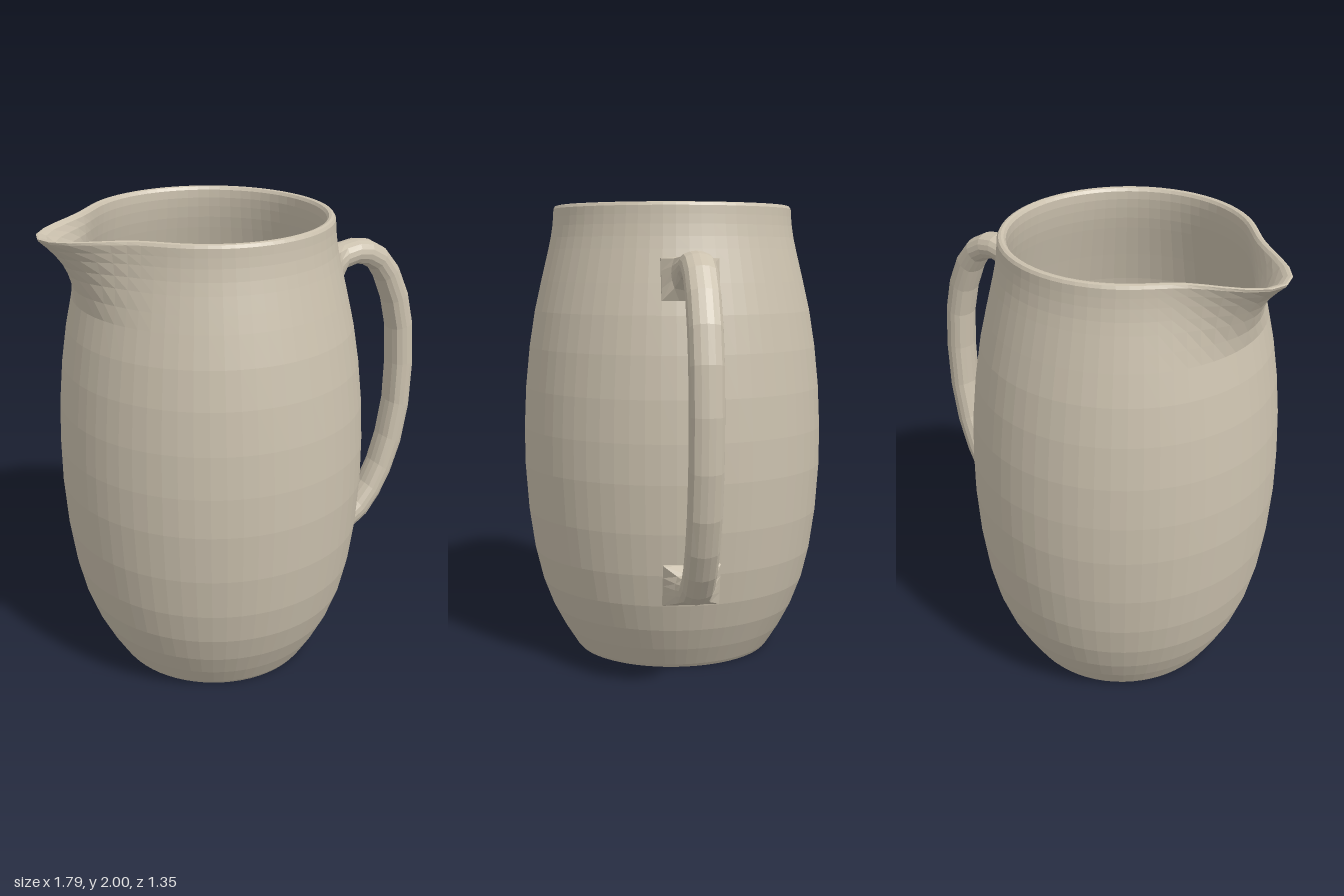
import * as THREE from 'three';

const clay = new THREE.MeshStandardMaterial({ color: 0xcbc1ae, flatShading: true });
clay.name = 'clay';

// Turned vessel, outside then inside, with the rim pulled out into a pouring spout at -x
function vesselGeometry() {
  const outer = [
    [0, 0], [0.44, 0], [0.452, 0.015], [0.505, 0.1], [0.557, 0.2], [0.602, 0.32], [0.635, 0.46],
    [0.66, 0.64], [0.674, 0.85], [0.674, 1.02], [0.665, 1.2], [0.646, 1.38], [0.62, 1.54],
    [0.59, 1.67], [0.573, 1.74], [0.556, 1.81], [0.545, 1.86], [0.537, 1.91], [0.533, 1.95], [0.531, 1.985],
  ];
  const rim = [[0.524, 1.997], [0.513, 2], [0.502, 1.997], [0.494, 1.985]];
  const inner = [
    [0.493, 1.95], [0.497, 1.91], [0.505, 1.86], [0.516, 1.81], [0.533, 1.74], [0.55, 1.67],
    [0.58, 1.54], [0.606, 1.38], [0.625, 1.2], [0.634, 1.02], [0.634, 0.85], [0.62, 0.64],
    [0.595, 0.46], [0.56, 0.32], [0.515, 0.2], [0.455, 0.1], [0.33, 0.075], [0, 0.07],
  ];
  const profile = [...outer, ...rim, ...inner].map(([r, y]) => new THREE.Vector2(r, y));
  const geo = new THREE.LatheGeometry(profile, 64);
  const pos = geo.attributes.position;
  for (let i = 0; i < pos.count; i++) {
    const x = pos.getX(i), y = pos.getY(i), z = pos.getZ(i);
    const angle = Math.atan2(z, -x);
    const near = Math.exp(-0.5 * (angle / 0.244) ** 2);
    const rise = Math.max(0, (y - 1.66) / 0.34);
    const pull = 0.23 * near * Math.min(1, rise ** 1.5);
    pos.setXYZ(
      i,
      x * 0.97 - pull * Math.cos(angle),
      y - 0.02 * near * rise ** 3,
      z + pull * Math.sin(angle),
    );
  }
  geo.computeVertexNormals();
  return geo;
}

// Handle lofted through sections: outer x, y, inner x, y, half width, squareness
function handleGeometry() {
  const sections = [
    [0.36, 1.77, 0.40, 1.60, 0.12, 1],
    [0.40, 1.77, 0.44, 1.60, 0.12, 1],
    [0.45, 1.78, 0.465, 1.64, 0.085, 0.5],
    [0.50, 1.79, 0.50, 1.675],
    [0.57, 1.80, 0.56, 1.69],
    [0.64, 1.79, 0.61, 1.68],
    [0.72, 1.745, 0.66, 1.65],
    [0.79, 1.66, 0.70, 1.59],
    [0.85, 1.53, 0.745, 1.48],
    [0.885, 1.38, 0.775, 1.35],
    [0.90, 1.18, 0.785, 1.18],
    [0.89, 0.96, 0.78, 0.99],
    [0.855, 0.77, 0.75, 0.82],
    [0.80, 0.62, 0.71, 0.69],
    [0.74, 0.51, 0.66, 0.59],
    [0.67, 0.42, 0.60, 0.52],
    [0.60, 0.375, 0.55, 0.485],
    [0.53, 0.355, 0.52, 0.485, 0.08, 0.5],
    [0.44, 0.33, 0.48, 0.51, 0.12, 1],
    [0.39, 0.33, 0.43, 0.51, 0.12, 1],
  ];
  const sides = 16, points = [], index = [];
  sections.forEach(([ox, oy, ix, iy, half = 0.07, square = 0.15], i) => {
    for (let j = 0; j < sides; j++) {
      const a = (j / sides) * Math.PI * 2;
      const c = Math.cos(a), s = Math.sin(a);
      const k = THREE.MathUtils.lerp(1, 1 / Math.max(Math.abs(c), Math.abs(s)), square);
      points.push(
        (ox + ix) / 2 + ((ox - ix) / 2) * c * k,
        (oy + iy) / 2 + ((oy - iy) / 2) * c * k,
        half * s * k,
      );
      if (i === sections.length - 1) continue;
      const p = i * sides + j, q = i * sides + ((j + 1) % sides);
      index.push(p, q, p + sides, q, q + sides, p + sides);
    }
  });
  const geo = new THREE.BufferGeometry();
  geo.setAttribute('position', new THREE.Float32BufferAttribute(points, 3));
  geo.setIndex(index);
  geo.computeVertexNormals();
  return geo;
}

export function createModel() {
  const group = new THREE.Group();
  group.name = 'pitcher';

  const body = new THREE.Mesh(vesselGeometry(), clay);
  body.name = 'bodyWithSpout';
  body.position.x = -0.155;

  const handle = new THREE.Mesh(handleGeometry(), clay);
  handle.name = 'handle';

  group.add(body, handle);
  return group;
}
